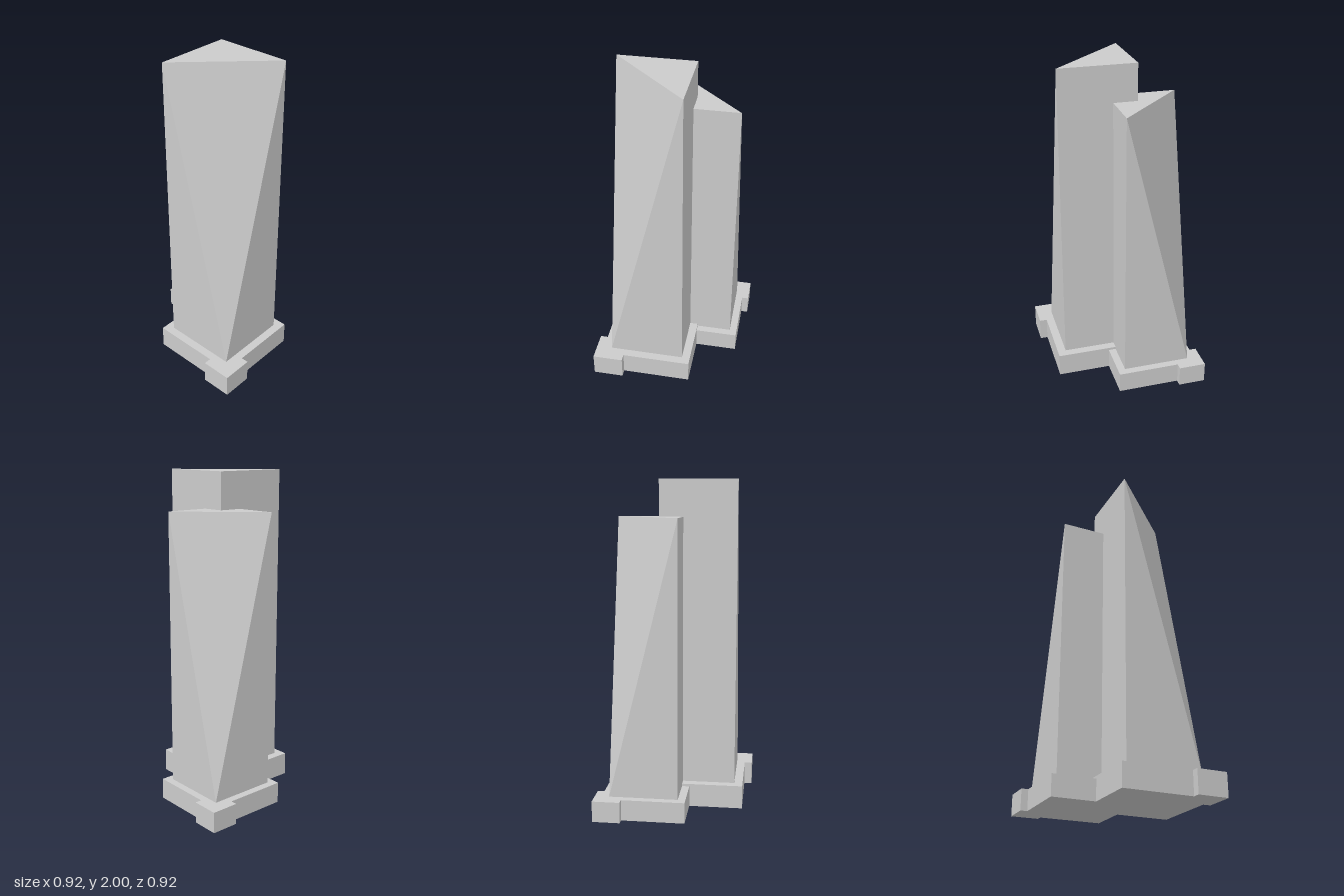
import * as THREE from 'three';
import { ConvexGeometry } from 'three/addons/geometries/ConvexGeometry.js';

const material = new THREE.MeshStandardMaterial({ color: 0xcccccc, flatShading: true });

const HEIGHT = 2;
const PLINTH = 0.144;  // plinth height
const SHAFT = 0.233;   // half width of the shaft
const BASE = 0.2845;   // half width of the plinth
const PAD_IN = 0.143;  // corner pad, inner and outer edge
const PAD_OUT = 0.331;

// Square plinth with a pad projecting at its -x, +z corner
function plinthGeometry() {
  const outline = [
    [-PAD_OUT, -PAD_OUT], [-PAD_IN, -PAD_OUT], [-PAD_IN, -BASE], [BASE, -BASE],
    [BASE, BASE], [-BASE, BASE], [-BASE, -PAD_IN], [-PAD_OUT, -PAD_IN],
  ];
  const shape = new THREE.Shape(outline.map(([x, y]) => new THREE.Vector2(x, y)));
  return new THREE.ExtrudeGeometry(shape, { depth: PLINTH, bevelEnabled: false }).rotateX(-Math.PI / 2);
}

// Square shaft whose -x, +z corner is sliced off from the foot up to the roof diagonal
function shaftGeometry() {
  const foot = [[-1, -1], [1, -1], [1, 1], [-1, 1]];
  const roof = [[-1, -1], [1, -1], [1, 1]];
  const level = (corners, y) => corners.map(([x, z]) => new THREE.Vector3(x * SHAFT, y, z * SHAFT));
  return new ConvexGeometry([...level(foot, PLINTH), ...level(roof, HEIGHT)]);
}

function createTower(name) {
  const tower = new THREE.Group();
  tower.name = name;
  const plinth = new THREE.Mesh(plinthGeometry(), material);
  plinth.name = 'plinth';
  const shaft = new THREE.Mesh(shaftGeometry(), material);
  shaft.name = 'shaft';
  tower.add(plinth, shaft);
  return tower;
}

export function createModel() {
  const model = new THREE.Group();
  model.name = 'twinTowers';

  const tall = createTower('tallTower');
  tall.position.set(-0.131, 0, 0.128);

  // The shorter tower is the same form, scaled down and turned to face the other way
  const short = createTower('shortTower');
  short.position.set(0.165, 0, -0.168);
  short.rotation.y = Math.PI;
  short.scale.setScalar(0.89);

  model.add(tall, short);
  return model;
}
